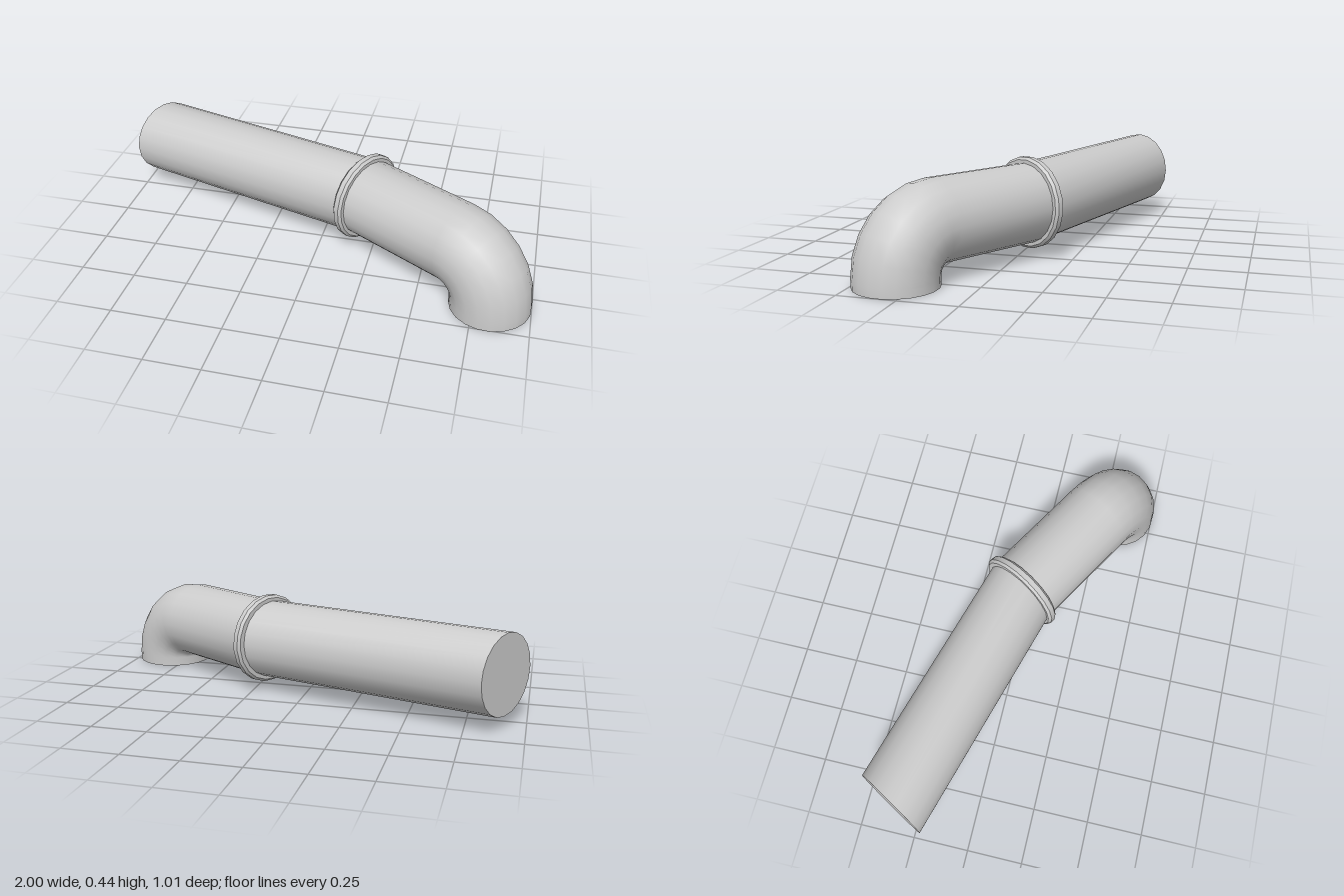
import * as THREE from 'three';
import { toCreasedNormals } from 'three/addons/utils/BufferGeometryUtils.js';

const RADIUS = 0.178, SIDES = 20, BEND = 0.195, BEND_STEPS = 6, HEIGHT = 0.235;
const ANGLE = Math.PI / 6;
const up = new THREE.Vector3(0, 1, 0);
const along = new THREE.Vector3(Math.cos(ANGLE), 0, Math.sin(ANGLE));
const across = new THREE.Vector3(-Math.sin(ANGLE), 0, Math.cos(ANGLE));

// One circular cross-section, spanned by u and the horizontal cross direction
function ringPoints(center, u) {
  return Array.from({ length: SIDES }, (_, j) => {
    const a = (j / SIDES) * Math.PI * 2;
    return center.clone()
      .addScaledVector(u, RADIUS * Math.cos(a))
      .addScaledVector(across, RADIUS * Math.sin(a));
  });
}

// Smooth skin through a list of rings
function loft(rings) {
  const index = [];
  for (let i = 0; i < rings.length - 1; i++) {
    for (let j = 0; j < SIDES; j++) {
      const k = (j + 1) % SIDES;
      const a = i * SIDES + j, b = i * SIDES + k;
      index.push(a, b, a + SIDES, b, b + SIDES, a + SIDES);
    }
  }
  const geometry = new THREE.BufferGeometry().setFromPoints(rings.flat());
  geometry.setIndex(index);
  geometry.computeVertexNormals();
  return geometry;
}

// Flat disc closing a ring
function capGeometry(ring, flip) {
  const index = [];
  for (let j = 1; j < SIDES - 1; j++) index.push(0, flip ? j + 1 : j, flip ? j : j + 1);
  const geometry = new THREE.BufferGeometry().setFromPoints(ring);
  geometry.setIndex(index);
  geometry.computeVertexNormals();
  return geometry;
}

export function createModel() {
  const group = new THREE.Group();
  const material = new THREE.MeshStandardMaterial({ color: 0xcccccc });
  const add = (name, geometry) => {
    const mesh = new THREE.Mesh(geometry, material);
    mesh.name = name;
    group.add(mesh);
    return mesh;
  };

  const start = new THREE.Vector3(-0.91, HEIGHT, -0.354);
  const joint = new THREE.Vector3(0.198, HEIGHT, -0.034);
  const corner = new THREE.Vector3(0.822, HEIGHT, 0.327);
  const bendStart = corner.clone().addScaledVector(along, -BEND);

  // Long pipe, with its ends cut parallel to the collar
  const longRings = [ringPoints(start, up), ringPoints(joint, up)];
  add('longPipe', loft(longRings));
  add('longPipeEnd', capGeometry(longRings[0], true));

  // Short pipe turning down through the elbow to the ground
  const elbowRings = [ringPoints(joint, up)];
  let u = up;
  for (let i = 0; i <= BEND_STEPS; i++) {
    const t = (i / BEND_STEPS) * Math.PI / 2;
    const center = bendStart.clone()
      .addScaledVector(along, BEND * Math.sin(t))
      .addScaledVector(up, -BEND * (1 - Math.cos(t)));
    u = up.clone().multiplyScalar(Math.cos(t)).addScaledVector(along, Math.sin(t));
    elbowRings.push(ringPoints(center, u));
  }
  elbowRings.push(ringPoints(new THREE.Vector3(corner.x, 0, corner.z), u));
  add('elbowPipe', loft(elbowRings));
  add('elbowEnd', capGeometry(elbowRings[elbowRings.length - 1], false));

  // Bevelled collar over the joint
  const profile = [
    [0.165, -0.023], [0.194, -0.023], [0.205, -0.012],
    [0.205, 0.012], [0.194, 0.023], [0.165, 0.023],
  ].map(([r, y]) => new THREE.Vector2(r, y));
  const collar = add('collar', toCreasedNormals(new THREE.LatheGeometry(profile, SIDES), 0.5));
  collar.quaternion.setFromUnitVectors(up, along);
  collar.position.copy(joint);

  return group;
}
